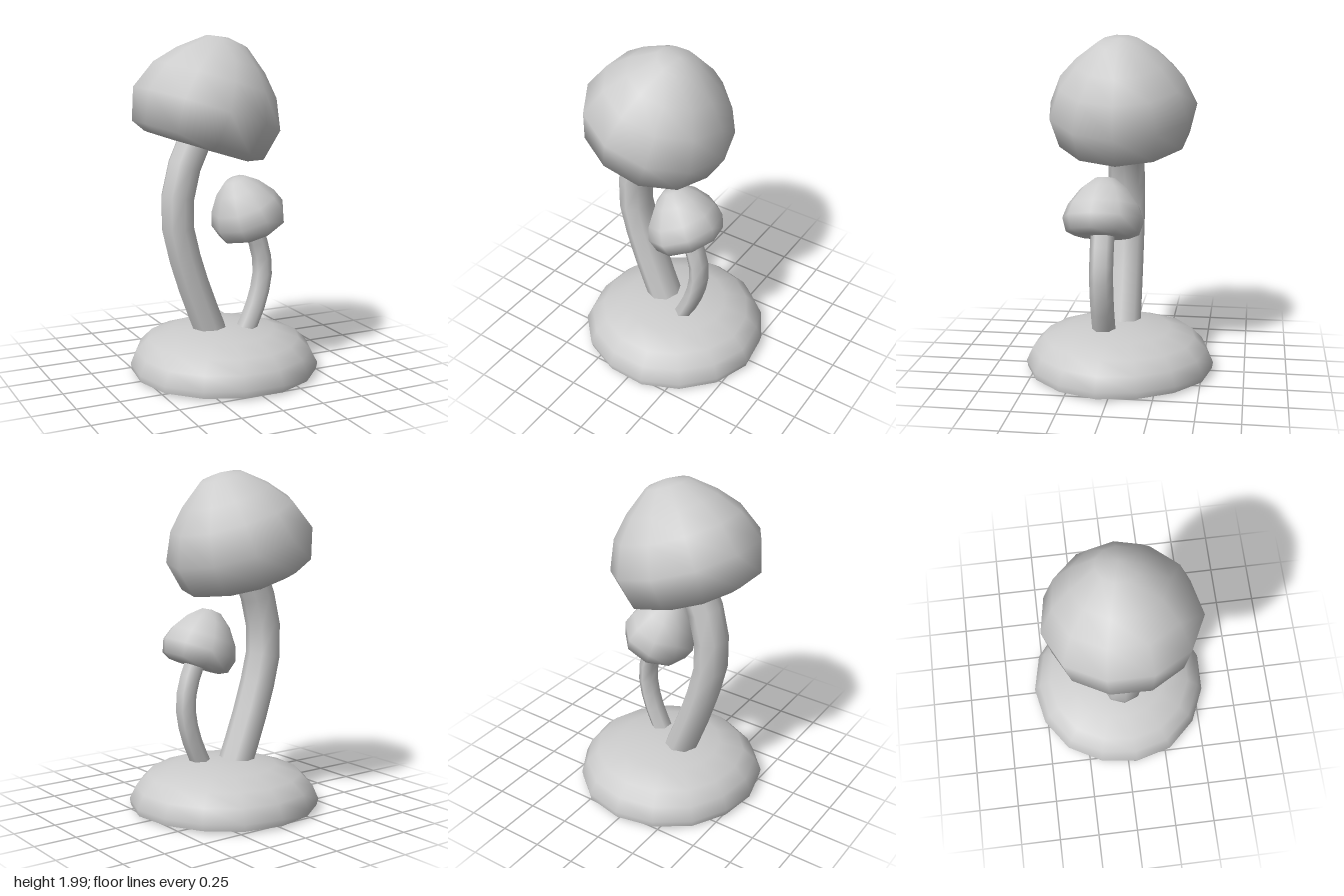
import * as THREE from 'three';
import { toCreasedNormals } from 'three/addons/utils/BufferGeometryUtils.js';

const material = new THREE.MeshStandardMaterial({ color: 0xcccccc });

// Turned solid with a slightly uneven outline; profile is [radius, height] from bottom to top
function turned(profile, sides, phase, wobble, crease) {
  const points = profile.map(([r, y]) => new THREE.Vector2(r, y));
  const geometry = new THREE.LatheGeometry(points, sides, phase);
  const p = geometry.attributes.position;
  for (let i = 0; i < p.count; i++) {
    const x = p.getX(i), y = p.getY(i), z = p.getZ(i);
    const a = Math.atan2(z, x);
    const k = 1 + wobble * (Math.sin(3 * a + 9 * y) + Math.sin(5 * a + 1));
    p.setX(i, x * k);
    p.setZ(i, z * k);
  }
  return toCreasedNormals(geometry, crease);
}

// Bent stalk through [x, y] points, a little wider in depth
function stalk(name, path, radius, sides, depth, z) {
  const curve = new THREE.CatmullRomCurve3(path.map(([x, y]) => new THREE.Vector3(x, y, 0)));
  const geometry = new THREE.TubeGeometry(curve, 7, radius, sides);
  geometry.scale(1, 1, depth);
  const mesh = new THREE.Mesh(geometry, material);
  mesh.name = name;
  mesh.position.z = z;
  return mesh;
}

function cap(name, geometry, position, tilt, depth) {
  const mesh = new THREE.Mesh(geometry, material);
  mesh.name = name;
  mesh.position.set(...position);
  mesh.rotation.z = tilt;
  mesh.scale.z = depth;
  return mesh;
}

export function createModel() {
  const group = new THREE.Group();
  group.name = 'mushrooms';

  // Mound of earth
  const mound = new THREE.Mesh(turned([
    [0, 0.01], [0.5, 0.005], [0.555, 0.02], [0.563, 0.06], [0.525, 0.14],
    [0.455, 0.21], [0.31, 0.26], [0.15, 0.283], [0, 0.29],
  ], 15, 0.2, 0.008, 0.9), material);
  mound.name = 'mound';
  group.add(mound);

  // Tall mushroom
  group.add(stalk('tallStem', [
    [-0.06, 0.2], [-0.1, 0.3], [-0.235, 0.68], [-0.293, 0.95], [-0.262, 1.2], [-0.17, 1.42],
  ], 0.097, 8, 1.15, -0.005));
  group.add(cap('tallCap', turned([
    [0, -0.035], [0.31, -0.03], [0.395, 0.005], [0.442, 0.19], [0.37, 0.36],
    [0.265, 0.478], [0.125, 0.59], [0, 0.615],
  ], 11, Math.PI / 2, 0.006, 1.3), [-0.165, 1.393, 0], -0.32, 1));

  // Short mushroom
  group.add(stalk('shortStem', [
    [0.09, 0.22], [0.125, 0.29], [0.19, 0.45], [0.22, 0.62], [0.2, 0.75], [0.15, 0.88],
  ], 0.054, 6, 1.3, 0.08));
  group.add(cap('shortCap', turned([
    [0, -0.01], [0.15, -0.015], [0.2, 0.01], [0.222, 0.09], [0.195, 0.17],
    [0.13, 0.265], [0.06, 0.325], [0, 0.335],
  ], 9, 0, 0.008, 1.3), [0.155, 0.867, 0.08], 0.38, 1.09));

  return group;
}
